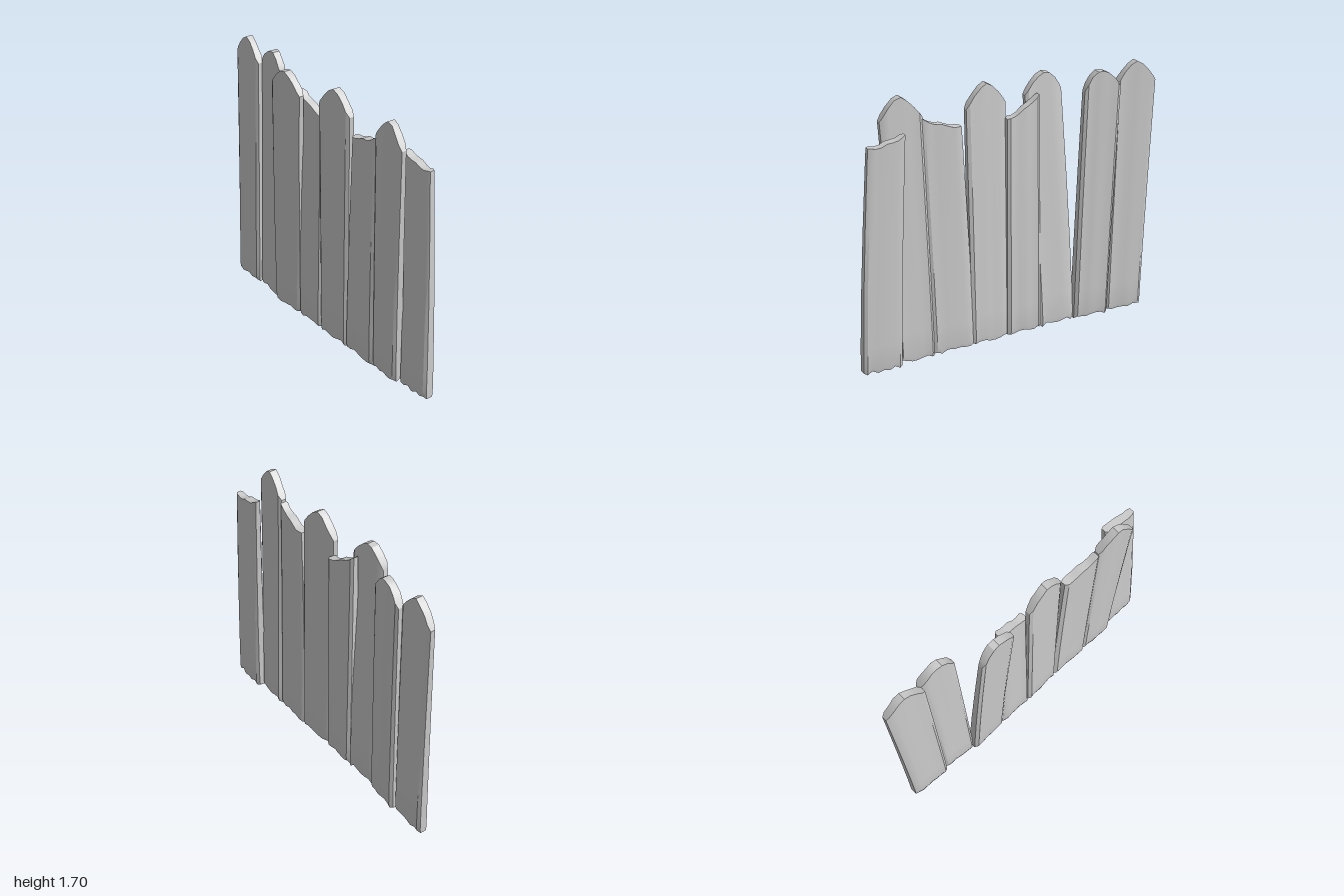
import * as THREE from 'three';
import { toCreasedNormals } from 'three/addons/utils/BufferGeometryUtils.js';

const lerp = THREE.MathUtils.lerp;

// Columns across a plank's width and rows up its height (fractions)
const COLS = [0, 0.08, 0.2, 0.35, 0.5, 0.65, 0.8, 0.92, 1];
const ROWS = [0, 0.02, 0.12, 0.37, 0.65, 0.92, 1];
const N = COLS.length;

// Upper edge rules: a pointed head rising from its shoulders, or a broken, sloping end
const pointed = (peak, at, power) => (u) => {
  const d = u < at ? (at - u) / at : (u - at) / (1 - at);
  return 1.57 + (peak - 1.57) * (1 - d ** power);
};
const broken = (left, right) => (u) => lerp(left, right, u) + 0.012 * Math.cos(u * 9) * Math.cos(u * 4);

function seeded(seed) {
  let s = seed;
  return () => (s = (s * 16807) % 2147483647) / 2147483647;
}

// One plank: chamfered cross-sections lofted from a ragged foot to a cut top edge.
// foot and head: left x, right x, mid-plane z at the left and right edge
function plankGeometry(foot, head, topEdge, seed) {
  const rand = seeded(seed);
  const pair = (base, range) => [base + rand() * range, base + rand() * range];
  const footY = COLS.map(() => pair(0.005, 0.025));
  const grain = COLS.map(() => pair(-0.004, 0.008));
  const positions = [];
  const index = [];

  const addPoint = (i, face, s) => {
    const u = COLS[i];
    const bend = s ** 1.35;
    const x = lerp(lerp(foot[0], head[0], bend), lerp(foot[1], head[1], bend), u);
    const y = lerp(footY[i][face], topEdge(u), s);
    const mid = lerp(lerp(foot[2], foot[3], u), lerp(head[2], head[3], u), s);
    const atEdge = i === 0 || i === N - 1;
    const half = lerp(0.041, 0.025, s) * (atEdge ? 0.6 : 1) * (s === 0 ? 0.85 : 1);
    positions.push(x, y, mid + (face ? -half : half) + (atEdge ? 0 : grain[i][face]));
  };

  for (const s of ROWS) {
    for (let i = 0; i < N; i++) addPoint(i, 0, s);
    for (let i = N - 1; i >= 0; i--) addPoint(i, 1, s);
  }

  const quad = (a, b, c, d) => index.push(a, b, c, a, c, d);
  const ring = 2 * N;
  for (let r = 0; r < ROWS.length - 1; r++) {
    for (let j = 0; j < ring; j++) {
      const k = (j + 1) % ring;
      quad(r * ring + j, r * ring + k, (r + 1) * ring + k, (r + 1) * ring + j);
    }
  }
  // Top and foot caps
  const t = (ROWS.length - 1) * ring;
  for (let i = 0; i < N - 1; i++) {
    const back = ring - 1 - i;
    quad(t + i, t + i + 1, t + back - 1, t + back);
    quad(back, back - 1, i + 1, i);
  }

  const geometry = new THREE.BufferGeometry();
  geometry.setAttribute('position', new THREE.Float32BufferAttribute(positions, 3));
  geometry.setIndex(index);
  return toCreasedNormals(geometry, 0.5);
}

export function createModel() {
  const group = new THREE.Group();
  group.name = 'plankFence';
  const material = new THREE.MeshStandardMaterial({ color: 0xcccccc });

  const addPlank = (foot, head, topEdge) => {
    const n = group.children.length + 1;
    const plank = new THREE.Mesh(plankGeometry(foot, head, topEdge, 1371 * (n + 2)), material);
    plank.name = `plank${n}`;
    group.add(plank);
  };

  // Planks from the model's right to its left, leaning alternately back and forward
  addPlank([-0.97, -0.71, -0.03, -0.012], [-1, -0.73, -0.068, -0.045], pointed(1.71, 0.5, 1.5));
  addPlank([-0.71, -0.475, -0.035, -0.015], [-0.74, -0.5, -0.08, -0.055], pointed(1.69, 0.58, 2));
  addPlank([-0.48, -0.225, 0.005, 0], [-0.41, -0.15, 0.075, 0.06], pointed(1.695, 0.45, 1.8));
  addPlank([-0.23, 0.005, -0.002, 0], [-0.22, 0.005, 0.008, -0.008], broken(1.57, 1.46));
  addPlank([0.005, 0.26, 0.005, -0.01], [0, 0.27, 0.027, 0.008], pointed(1.71, 0.5, 1.5));
  addPlank([0.25, 0.525, -0.01, 0], [0.3, 0.55, 0.01, 0.035], broken(1.46, 1.55));
  addPlank([0.52, 0.75, -0.005, 0.005], [0.54, 0.8, 0.035, 0.058], pointed(1.71, 0.54, 1.4));
  addPlank([0.75, 1, -0.03, -0.02], [0.69, 0.92, -0.055, -0.045], broken(1.5, 1.46));
  return group;
}
